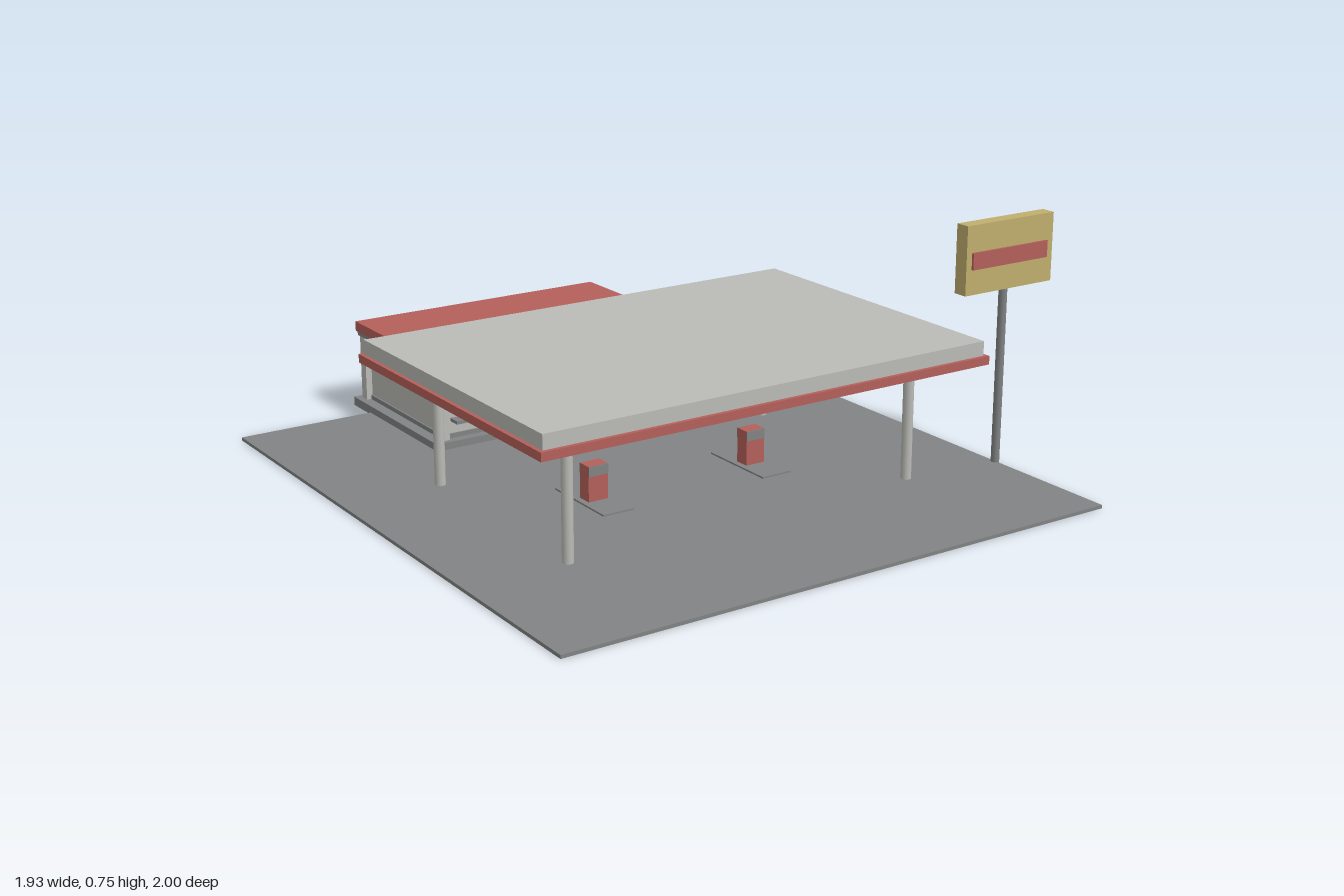
import * as THREE from 'three';

const material = (name, color) => {
  const m = new THREE.MeshStandardMaterial({ color });
  m.name = name;
  return m;
};

export function createModel() {
  const model = new THREE.Group();
  model.name = 'fillingStation';
  const asphalt = material('asphaltGrey', 0x828384);
  const pale = material('paleGrey', 0xbbbbb6);
  const red = material('brickRed', 0xb5605b);
  const yellow = material('mustardYellow', 0xc1af6e);

  const group = (name) => {
    const g = new THREE.Group();
    g.name = name;
    model.add(g);
    return g;
  };
  // Box given by its extents on each axis
  const box = (parent, name, mat, [x0, x1], [y0, y1], [z0, z1]) => {
    const mesh = new THREE.Mesh(new THREE.BoxGeometry(x1 - x0, y1 - y0, z1 - z0), mat);
    mesh.position.set((x0 + x1) / 2, (y0 + y1) / 2, (z0 + z1) / 2);
    mesh.name = name;
    parent.add(mesh);
  };
  const post = (parent, name, mat, x, z, r, top) => {
    const mesh = new THREE.Mesh(new THREE.CylinderGeometry(r, r, top, 12), mat);
    mesh.position.set(x, top / 2, z);
    mesh.name = name;
    parent.add(mesh);
  };

  // Forecourt slab
  box(model, 'forecourt', asphalt, [-0.97, 0.8], [0, 0.01], [-0.885, 1]);

  // Shop: plinth, recessed walls between corner posts, roof
  const shop = group('shop');
  box(shop, 'shopFloor', pale, [-0.515, 0.345], [0.001, 0.006], [-0.98, -0.45]);
  box(shop, 'plinth', asphalt, [-0.535, 0.365], [0.004, 0.032], [-1, -0.435]);
  box(shop, 'skirting', asphalt, [-0.5, 0.325], [0.03, 0.046], [-0.965, -0.465]);
  box(shop, 'walls', pale, [-0.495, 0.32], [0.045, 0.242], [-0.96, -0.47]);
  for (const x of [-0.515, 0.31]) {
    for (const z of [-0.98, -0.485]) {
      box(shop, 'cornerPost', pale, [x, x + 0.033], [0.03, 0.242], [z, z + 0.033]);
    }
  }
  box(shop, 'eaves', asphalt, [-0.52, 0.35], [0.24, 0.256], [-0.985, -0.446]);
  box(shop, 'shopRoof', red, [-0.525, 0.355], [0.254, 0.285], [-0.988, -0.444]);
  // Three window shelves
  for (const x of [-0.362, -0.085, 0.192]) {
    box(shop, 'windowShelf', asphalt, [x - 0.107, x + 0.107], [0.085, 0.095], [-0.475, -0.428]);
  }

  // Canopy on four columns
  const canopy = group('canopy');
  box(canopy, 'canopyFascia', red, [-0.825, 0.65], [0.365, 0.39], [-0.338, 0.677]);
  box(canopy, 'canopyTop', pale, [-0.813, 0.638], [0.388, 0.433], [-0.326, 0.665]);
  for (const x of [-0.66, 0.485]) {
    for (const z of [-0.18, 0.525]) post(canopy, 'column', pale, x, z, 0.016, 0.37);
  }

  // Fuel pumps on low islands
  for (const x of [-0.358, 0.187]) {
    const pump = group('pump');
    box(pump, 'island', asphalt, [x - 0.05, x + 0.05], [0.005, 0.015], [0.04, 0.3]);
    box(pump, 'pumpBody', red, [x - 0.032, x + 0.032], [0.01, 0.12], [0.148, 0.194]);
    for (const z of [0.146, 0.194]) {
      box(pump, 'pumpDisplay', asphalt, [x - 0.032, x + 0.032], [0.09, 0.12], [z, z + 0.002]);
    }
  }

  // Roadside sign
  const sign = group('roadSign');
  post(sign, 'signPole', asphalt, 0.8, 0.56, 0.013, 0.55);
  box(sign, 'signBoard', yellow, [0.635, 0.965], [0.545, 0.75], [0.537, 0.582]);
  box(sign, 'signStripe', red, [0.655, 0.94], [0.62, 0.67], [0.581, 0.589]);
  return model;
}
